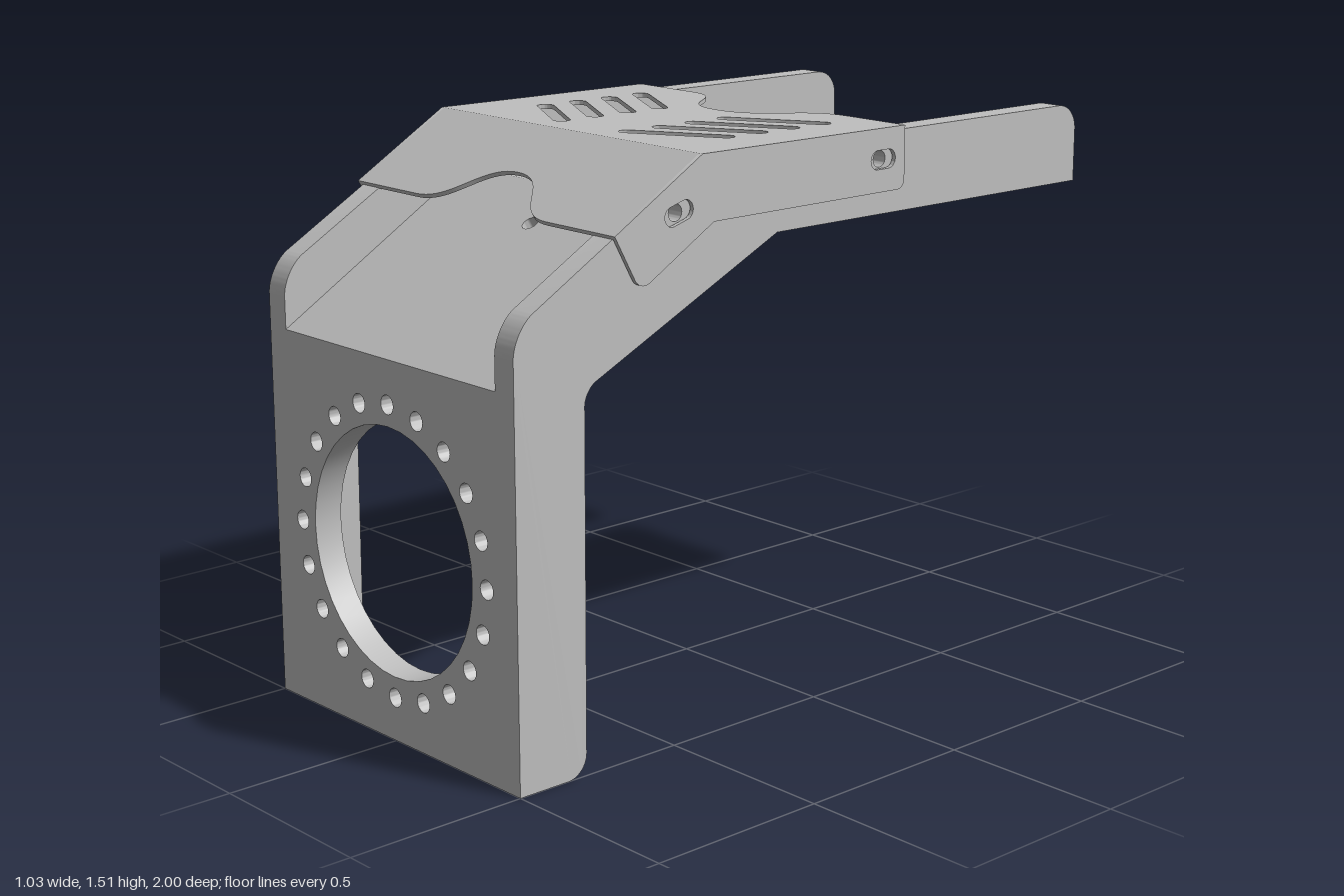
import * as THREE from 'three';
import { toCreasedNormals } from 'three/addons/utils/BufferGeometryUtils.js';

const metal = new THREE.MeshStandardMaterial({ color: 0xbfbfbf });
metal.name = 'grey metal';

function addMesh(parent, name, geometry) {
  const mesh = new THREE.Mesh(toCreasedNormals(geometry, 0.6), metal);
  mesh.name = name;
  parent.add(mesh);
  return mesh;
}

const extrude = (shape, depth) =>
  new THREE.ExtrudeGeometry(shape, { depth, bevelEnabled: false, curveSegments: 20 });

const circle = (x, y, r) => new THREE.Path().absarc(x, y, r, 0, Math.PI * 2, true);

// Rounded slot between two points
function slot(x0, y0, x1, y1, r) {
  const a = Math.atan2(y1 - y0, x1 - x0), q = Math.PI / 2;
  const p = new THREE.Path();
  p.absarc(x1, y1, r, a - q, a + q, false);
  p.absarc(x0, y0, r, a + q, a + 3 * q, false);
  p.closePath();
  return p;
}

// Closed outline from [z, y, cornerRadius] points, drawn with -z to the right
function roundedProfile(points) {
  const v = points.map(([z, y]) => new THREE.Vector2(-z, y));
  const shape = new THREE.Shape();
  v.forEach((p, i) => {
    const r = points[i][2] || 0;
    const toward = (q) => p.clone().add(q.clone().sub(p).setLength(r));
    const a = r ? toward(v[(i + v.length - 1) % v.length]) : p;
    const b = r ? toward(v[(i + 1) % v.length]) : p;
    if (i === 0) shape.moveTo(a.x, a.y); else shape.lineTo(a.x, a.y);
    if (r) {
      const k = 0.55;
      const c1 = a.clone().lerp(p, k), c2 = b.clone().lerp(p, k);
      shape.bezierCurveTo(c1.x, c1.y, c2.x, c2.y, b.x, b.y);
    }
  });
  shape.closePath();
  return shape;
}

// The same side profile on both sides of the model
function sidePair(parent, name, shape, inner, thickness) {
  for (const [side, x] of [['left', inner], ['right', -inner - thickness]]) {
    const mesh = addMesh(parent, side + name, extrude(shape, thickness));
    mesh.rotation.y = Math.PI / 2;
    mesh.position.x = x;
  }
}

// Plate whose outer face runs from [z, y] to [z, y]; the inner edges are mitred
function plate(parent, name, from, to, shape, thickness, mitre0 = 0, mitre1 = 0) {
  const length = Math.hypot(to[0] - from[0], to[1] - from[1]);
  const geo = extrude(shape, thickness).translate(0, 0, -thickness);
  const p = geo.attributes.position;
  for (let i = 0; i < p.count; i++) {
    if (p.getZ(i) > -thickness / 2) continue;
    const y = p.getY(i);
    if (Math.abs(y) < 1e-4) p.setY(i, y + mitre0);
    if (Math.abs(y - length) < 1e-4) p.setY(i, y - mitre1);
  }
  geo.deleteAttribute('normal');
  geo.computeVertexNormals();
  const mesh = addMesh(parent, name, geo);
  mesh.position.set(0, from[1], from[0]);
  mesh.rotation.x = -Math.atan2(from[0] - to[0], to[1] - from[1]);
}

function outline(points) {
  return new THREE.Shape(points.map(([x, y]) => new THREE.Vector2(x, y)));
}

const dist = (a, b) => Math.hypot(a[0] - b[0], a[1] - b[1]);

export function createModel() {
  const model = new THREE.Group();
  model.name = 'mountingBracket';

  const bracket = new THREE.Group();
  bracket.name = 'bracket';
  model.add(bracket);
  const W = 0.43, T = 0.08;
  const foot = [1, 0], bend = [1, 1], crest = [0.41, 1.355], tail = [-1, 1.35];

  // Side flanges with screw holes
  const flange = roundedProfile([
    [1, 0], [0.79, 0, 0.06], [0.785, 0.978, 0.04], [0.15, 1.276], [-1, 1.27],
    [-1, 1.485, 0.07], [0.415, 1.492], [1, 1.155, 0.07],
  ]);
  flange.holes.push(circle(-0.495, 1.37, 0.022), circle(0.215, 1.42, 0.022));
  sidePair(bracket, 'Flange', flange, W, 0.07);

  // Front plate with a large opening and a ring of bolt holes
  const front = outline([[-W, 0], [W, 0], [W, 1], [-W, 1]]);
  front.holes.push(new THREE.Path().absarc(0, 0.5, 0.328, 0, Math.PI * 2, true));
  for (let i = 0; i < 20; i++) {
    const a = (i * Math.PI) / 10;
    front.holes.push(circle(0.384 * Math.cos(a), 0.5 + 0.384 * Math.sin(a), 0.025));
  }
  plate(bracket, 'frontPlate', foot, bend, front, T, 0, 0.045);

  // Sloping plate
  const sl = dist(bend, crest);
  const slope = outline([[-W, 0], [W, 0], [W, sl], [-W, sl]]);
  slope.holes.push(circle(0, 0.54, 0.023));
  plate(bracket, 'slopingPlate', bend, crest, slope, T, 0.045, 0.022);

  // Floor plate with an open slot at the back
  const fl = dist(crest, tail);
  const floor = new THREE.Shape();
  floor.moveTo(-W, 0);
  floor.lineTo(W, 0);
  floor.lineTo(W, fl);
  floor.lineTo(0.088, fl);
  floor.lineTo(0.088, 0.985);
  floor.bezierCurveTo(0.06, 0.932, -0.06, 0.932, -0.088, 0.985);
  floor.lineTo(-0.088, fl);
  floor.lineTo(-W, fl);
  floor.closePath();
  floor.holes.push(circle(0, 0.39, 0.023));
  plate(bracket, 'floorPlate', crest, tail, floor, T, 0.022, 0);

  // Folded sheet cover
  const cover = new THREE.Group();
  cover.name = 'cover';
  model.add(cover);
  const C = 0.515, S = 0.012;
  const lip = [0.7, 1.34], ridge = [0.418, 1.506], rear = [-0.295, 1.501];

  // Cover front with an arched cutout
  const cl = dist(lip, ridge), h = 0.145;
  const hood = new THREE.Shape();
  hood.moveTo(-C, 0);
  hood.lineTo(-0.26, 0);
  hood.bezierCurveTo(-0.12, 0, -0.14, h, 0, h);
  hood.bezierCurveTo(0.14, h, 0.12, 0, 0.26, 0);
  hood.lineTo(C, 0);
  hood.lineTo(C, cl);
  hood.lineTo(-C, cl);
  hood.closePath();
  plate(cover, 'coverFront', lip, ridge, hood, S, 0, 0.003);

  // Cover top with a curved cutout and slanted vents
  const tl = dist(ridge, rear), d = tl - 0.185;
  const top = new THREE.Shape();
  top.moveTo(-C, 0);
  top.lineTo(C, 0);
  top.lineTo(C, tl);
  top.lineTo(0.3, tl);
  top.bezierCurveTo(0.14, tl, 0.18, d, 0, d);
  top.bezierCurveTo(-0.18, d, -0.14, tl, -0.3, tl);
  top.lineTo(-C, tl);
  top.closePath();
  for (const s of [-1, 1]) {
    for (let i = 0; i < 4; i++) {
      const z = i * 0.114;
      top.holes.push(slot(s * 0.355, ridge[0] + 0.152 - z, s * 0.13, ridge[0] + 0.02 - z, 0.023));
    }
  }
  plate(cover, 'coverTop', ridge, rear, top, S, 0.003, 0);

  // Cover side tabs with adjustment slots
  const tab = roundedProfile([
    lip, [0.62, 1.195, 0.035], [0.38, 1.335], [-0.295, 1.335, 0.025], rear, ridge,
  ]);
  tab.holes.push(
    slot(-0.516, 1.364, -0.474, 1.376, 0.025),
    slot(0.195, 1.42, 0.235, 1.42, 0.025),
  );
  sidePair(cover, 'CoverTab', tab, C - S, S);

  return model;
}
